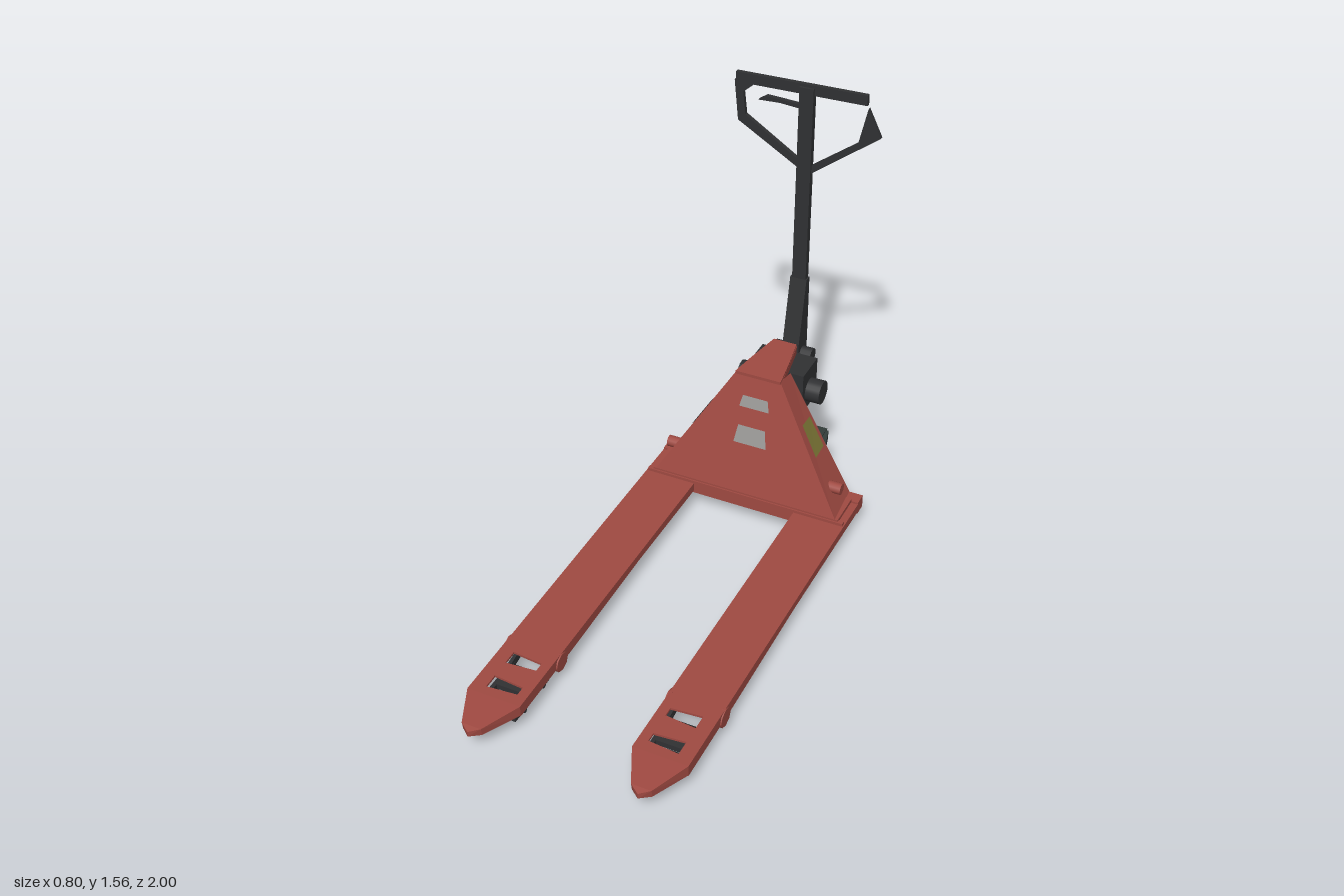
import * as THREE from 'three';
import { ConvexGeometry } from 'three/addons/geometries/ConvexGeometry.js';

const V = (x, y, z) => new THREE.Vector3(x, y, z);
const mat = (name, color) => {
  const m = new THREE.MeshStandardMaterial({ color, side: THREE.DoubleSide });
  m.name = name;
  return m;
};

export function createModel() {
  const red = mat('red paint', 0xa04a42);
  const black = mat('black metal', 0x303133);
  const rubber = mat('dark rubber', 0x2a2b2c);
  const bracketGrey = mat('bracket grey', 0x323b38);
  const labelGrey = mat('label grey', 0x9a9896);
  const labelDark = mat('label dark', 0x404345);
  const labelOlive = mat('label olive', 0x7c7636);

  const model = new THREE.Group();
  model.name = 'palletTruck';

  // ---- helpers
  const add = (name, geo, material, x = 0, y = 0, z = 0, parent = model) => {
    const m = new THREE.Mesh(geo, material);
    m.name = name;
    m.position.set(x, y, z);
    parent.add(m);
    return m;
  };
  // box given by its limits
  const box = (name, material, x0, x1, y0, y1, z0, z1) => add(name,
    new THREE.BoxGeometry(x1 - x0, y1 - y0, z1 - z0), material, (x0 + x1) / 2, (y0 + y1) / 2, (z0 + z1) / 2);
  // straight bar between two points
  const bar = (name, material, a, b, w, h) => {
    const m = add(name, new THREE.BoxGeometry(w, h, a.distanceTo(b)), material);
    m.position.copy(a).lerp(b, 0.5);
    m.lookAt(b);
    return m;
  };
  // upright cylinder, or one lying along x
  const cyl = (name, material, r0, r1, len, x, y, z, alongX = false, sides = 20) => {
    const g = new THREE.CylinderGeometry(r0, r1, len, sides);
    if (alongX) g.rotateZ(Math.PI / 2);
    return add(name, g, material, x, y, z);
  };
  const shape = pts => new THREE.Shape(pts.map(p => new THREE.Vector2(...p)));
  const extrude = (s, depth) => new THREE.ExtrudeGeometry(s, { depth, bevelEnabled: false });
  // flat quad, corners counter-clockwise from outside
  const quad = (name, material, c) => {
    const g = new THREE.BufferGeometry().setFromPoints([c[0], c[1], c[2], c[0], c[2], c[3]]);
    g.computeVertexNormals();
    return add(name, g, material);
  };
  // label lying just above a quad, placed by fractions of its width and height
  const label = (name, material, c, u0, u1, v0, v1) => {
    const n = c[1].clone().sub(c[0]).cross(c[3].clone().sub(c[0])).normalize().multiplyScalar(0.004);
    const at = (u, v) => c[0].clone().lerp(c[1], u).lerp(c[3].clone().lerp(c[2], u), v).add(n);
    quad(name, material, [at(u0, v0), at(u1, v0), at(u1, v1), at(u0, v1)]);
  };

  // ---- forks, load rollers and push rods
  for (const s of [-1, 1]) {
    const side = s > 0 ? 'left' : 'right';
    const X = v => s * v;

    // top plate with two tapered roller slots
    const plate = shape([[X(0.2), 0.65], [X(0.395), 0.65], [X(0.395), -0.84], [X(0.2), -0.84]]);
    for (const z of [0.655, 0.778]) {
      plate.holes.push(new THREE.Path([[X(0.235), -z - 0.018], [X(0.345), -z - 0.028],
        [X(0.345), -z + 0.028], [X(0.235), -z + 0.018]].map(p => new THREE.Vector2(...p))));
    }
    const top = extrude(plate, 0.008).rotateX(-Math.PI / 2).translate(0, 0.107, 0);
    const pos = top.attributes.position;
    for (let i = 0; i < pos.count; i++) {
      pos.setY(i, pos.getY(i) + 0.013 * (pos.getZ(i) - 0.84) / 1.49);
    }
    top.computeVertexNormals();
    add(side + 'ForkTop', top, red);

    // side skirts
    const skirt = shape([[-0.65, 0.065], [-0.45, 0.07], [0, 0.079], [0.5, 0.07], [0.84, 0.072],
      [0.84, 0.114], [-0.65, 0.101]]);
    for (const x of [0.2, 0.387]) {
      add(side + 'ForkSkirt', extrude(skirt, 0.008).rotateY(-Math.PI / 2), red, X(x + 0.004) + 0.004);
    }

    // pointed nose
    add(side + 'ForkNose', new ConvexGeometry([
      V(X(0.2), 0.115, 0.84), V(X(0.395), 0.115, 0.84), V(X(0.2), 0.075, 0.84), V(X(0.395), 0.075, 0.84),
      V(X(0.265), 0.11, 0.975), V(X(0.335), 0.11, 0.975), V(X(0.3), 0.105, 1), V(X(0.3), 0.085, 1),
      V(X(0.265), 0.08, 0.97), V(X(0.335), 0.08, 0.97)]), red);

    // roller pivots on the skirts
    for (const x of [0.202, 0.392]) {
      const lug = cyl(side + 'RollerLug', red, 0.034, 0.034, 0.014, X(x), 0.08, 0.57, true, 8);
      lug.scale.z = 1.1;
    }

    // roller bogie
    for (const z of [0.66, 0.785]) {
      cyl(side + 'LoadRoller', rubber, 0.034, 0.034, 0.095, X(0.29), 0.043, z, true);
      cyl(side + 'RollerAxle', black, 0.01, 0.01, 0.15, X(0.29), 0.043, z, true, 10);
    }
    for (const x of [0.228, 0.352]) {
      bar(side + 'BogieCheek', black, V(X(x), 0.048, 0.62), V(X(x), 0.055, 0.84), 0.014, 0.035);
      bar(side + 'BogieLink', black, V(X(x), 0.08, 0.54), V(X(x), 0.055, 0.68), 0.012, 0.03);
    }
    bar(side + 'BogieBridge', black, V(X(0.29), 0.06, 0.7), V(X(0.29), 0.06, 0.745), 0.12, 0.02);
    cyl(side + 'EntryRoller', black, 0.014, 0.014, 0.07, X(0.3), 0.07, 0.91, true, 10);

    // push rod and rocker linkage
    bar(side + 'PushRod', black, V(X(0.28), 0.085, -0.2), V(X(0.29), 0.085, 0.6), 0.014, 0.014);
    bar(side + 'RodFork', black, V(X(0.26), 0.078, -0.56), V(X(0.28), 0.083, -0.1), 0.035, 0.024);
    cyl(side + 'RockerPivot', black, 0.026, 0.026, 0.09, X(0.26), 0.085, -0.58, true, 12);
    bar(side + 'RockerArm', bracketGrey, V(X(0.175), 0.215, -0.81), V(X(0.225), 0.2, -0.62), 0.026, 0.035);
    bar(side + 'RockerDrop', bracketGrey, V(X(0.222), 0.21, -0.64), V(X(0.25), 0.085, -0.56), 0.03, 0.04);

    // cross beam ends and housing lugs
    bar(side + 'BeamEnd', red, V(X(0.36), 0.085, -0.65), V(X(0.36), 0.085, -0.6), 0.07, 0.05);
    cyl(side + 'HousingLug', red, 0.022, 0.022, 0.05, X(0.322), 0.193, -0.55, true, 10);
  }

  // ---- front beam and housing
  box('frontBeam', red, -0.39, 0.39, 0.062, 0.115, -0.475, -0.455);
  box('floorPlate', red, -0.37, 0.37, 0.108, 0.122, -0.6, -0.46);

  const front = [V(-0.36, 0.12, -0.46), V(0.36, 0.12, -0.46), V(0.085, 0.575, -0.57), V(-0.085, 0.575, -0.57)];
  const leftSide = [V(0.36, 0.12, -0.46), V(0.345, 0.12, -0.64), V(0.085, 0.555, -0.665), V(0.085, 0.575, -0.57)];
  const rightSide = [V(-0.345, 0.12, -0.64), V(-0.36, 0.12, -0.46), V(-0.085, 0.575, -0.57), V(-0.085, 0.555, -0.665)];
  quad('housingFront', red, front);
  quad('housingLeft', red, leftSide);
  quad('housingRight', red, rightSide);

  // tapered head plate with side flanges
  add('headPlate', extrude(shape([[-0.088, 0.565], [0.088, 0.565], [0.07, 0.68], [0.045, 0.815],
    [-0.045, 0.815], [-0.07, 0.68]]), 0.012).rotateX(-Math.PI / 2), red, 0, 0.565, 0);
  for (const s of [-1, 1]) {
    bar('headFlange', red, V(s * 0.082, 0.553, -0.58), V(s * 0.043, 0.556, -0.81), 0.01, 0.03);
  }

  // labels
  label('upperFrontLabel', labelGrey, front, 0.32, 0.68, 0.725, 0.82);
  label('lowerFrontLabel', labelGrey, front, 0.37, 0.63, 0.42, 0.57);
  label('leftLabel', labelOlive, leftSide, 0.22, 0.82, 0.42, 0.66);
  label('rightLabel', labelDark, rightSide, 0.18, 0.78, 0.42, 0.66);

  // ---- steering wheels
  const profile = [[0.022, -0.03], [0.03, -0.014], [0.078, -0.014], [0.084, -0.03], [0.105, -0.033], [0.115, -0.022],
    [0.115, 0.022], [0.105, 0.033], [0.084, 0.03], [0.078, 0.014], [0.03, 0.014], [0.022, 0.03]];
  for (const s of [-1, 1]) {
    const wheel = new THREE.Group();
    wheel.name = s > 0 ? 'leftSteerWheel' : 'rightSteerWheel';
    wheel.position.set(s * 0.087, 0.115, -0.785);
    model.add(wheel);
    const tyre = new THREE.LatheGeometry(profile.map(p => new THREE.Vector2(...p)), 32).rotateZ(Math.PI / 2);
    add('tyre', tyre, rubber, 0, 0, 0, wheel);
    for (let i = 0; i < 6; i++) {
      const spoke = new THREE.BoxGeometry(0.044, 0.06, 0.014).translate(0, 0.052, 0).rotateX(i * Math.PI / 3);
      add('spoke', spoke, black, 0, 0, 0, wheel);
    }
  }
  cyl('wheelAxle', black, 0.02, 0.02, 0.25, 0, 0.115, -0.785, true, 12);
  bar('axleYoke', black, V(0, 0.1, -0.785), V(0, 0.25, -0.785), 0.06, 0.06);

  // ---- pump
  box('rockerPlate', bracketGrey, -0.18, 0.18, 0.205, 0.235, -0.82, -0.7);
  cyl('steerCollar', black, 0.06, 0.06, 0.025, 0, 0.25, -0.785);
  cyl('steerColumn', black, 0.04, 0.04, 0.1, 0, 0.29, -0.785);
  cyl('upperCollar', black, 0.058, 0.05, 0.05, 0, 0.315, -0.785);
  box('pumpBlock', black, -0.11, 0.11, 0.34, 0.505, -0.865, -0.73);
  cyl('pumpCrossTube', black, 0.045, 0.045, 0.33, 0, 0.41, -0.795, true);
  cyl('pumpPiston', black, 0.036, 0.036, 0.06, 0, 0.53, -0.78);
  box('pumpRear', black, -0.045, 0.045, 0.34, 0.44, -0.96, -0.86);
  cyl('pumpRearCap', black, 0.055, 0.055, 0.1, 0, 0.39, -0.943);
  cyl('handlePivot', black, 0.03, 0.03, 0.15, 0, 0.48, -0.905, true, 12);

  // ---- draw bar and handle
  add('handleSocket', extrude(shape([[-0.865, 0.44], [-0.95, 0.46], [-0.948, 0.79], [-0.92, 0.79],
    [-0.87, 0.54]]), 0.064).rotateY(-Math.PI / 2), black, 0.032);
  box('drawBar', black, -0.025, 0.028, 0.6, 1.545, -0.945, -0.92);
  const grip = bar('handleBar', black, V(-0.265, 1.532, -0.937), V(0.22, 1.54, -0.937), 0.016, 0.038);
  grip.name = 'handleBar';
  const arms = {
    handleRightArm: [[-0.27, 1.52], [-0.255, 1.37], [0, 1.22], [0, 1.25], [-0.227, 1.395], [-0.237, 1.48], [-0.18, 1.53], [-0.25, 1.545]],
    handleLeftArm: [[0.225, 1.51], [0.275, 1.41], [0.02, 1.215], [0.02, 1.245], [0.195, 1.375]],
    releaseLever: [[-0.18, 1.462], [-0.15, 1.482], [-0.02, 1.476], [-0.02, 1.46], [-0.1, 1.466]],
  };
  for (const [name, pts] of Object.entries(arms)) {
    add(name, extrude(shape(pts), 0.016), black, 0, 0, -0.945);
  }

  return model;
}
